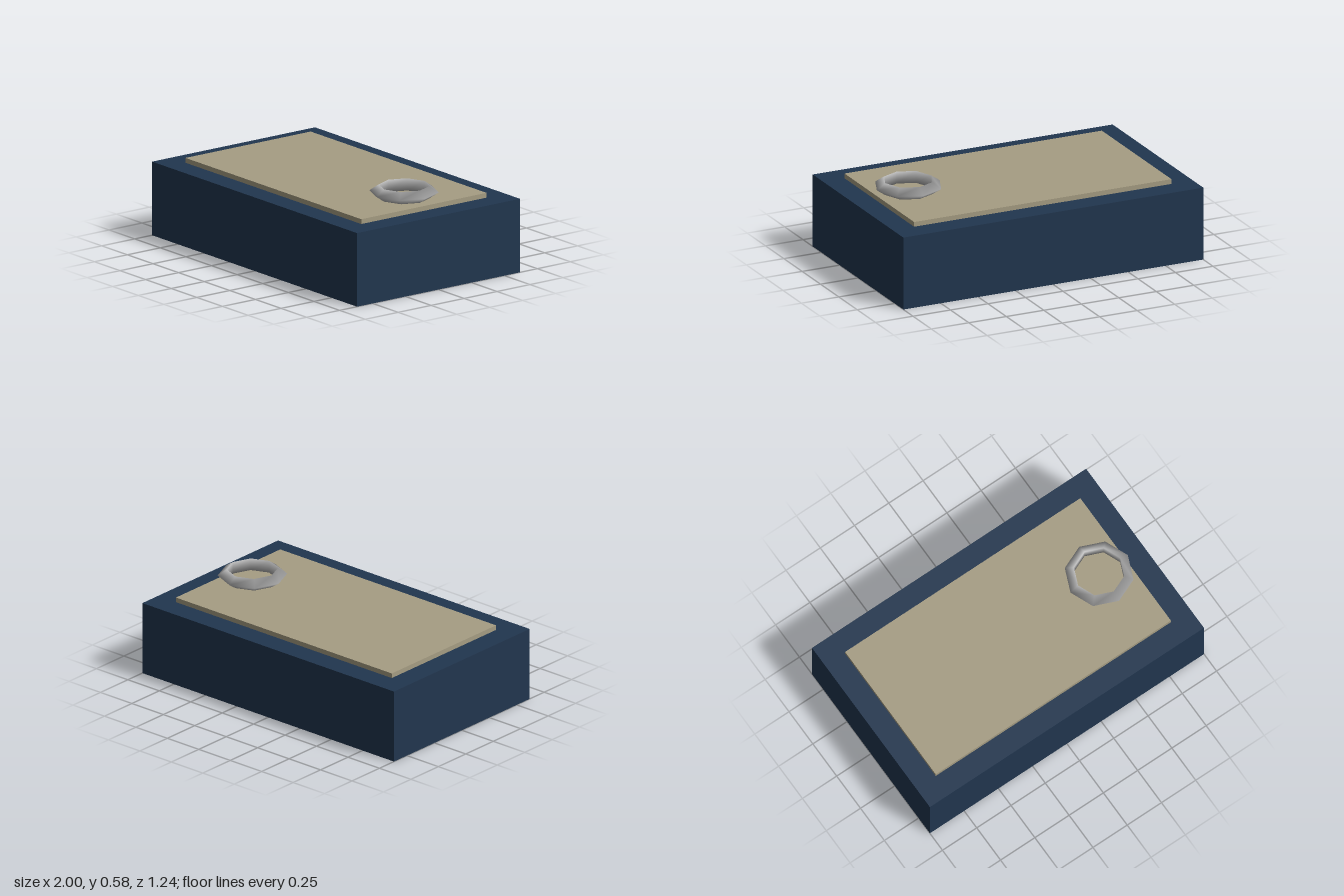
import * as THREE from 'three';

const material = (name, color) => {
  const m = new THREE.MeshStandardMaterial({ color });
  m.name = name;
  return m;
};

export function createModel() {
  const navy = material('navy', 0x21364f);
  const beige = material('beige', 0xa69d83);
  const silver = material('silver', 0xb4b4b4);

  const group = new THREE.Group();
  const add = (name, geometry, mat, x, y, z) => {
    const mesh = new THREE.Mesh(geometry, mat);
    mesh.name = name;
    mesh.position.set(x, y, z);
    group.add(mesh);
  };

  // Solid block and the thin panel resting on it
  add('base', new THREE.BoxGeometry(2, 0.458, 1.236), navy, 0, 0.229, 0);
  add('topPanel', new THREE.BoxGeometry(1.716, 0.03, 0.95), beige, 0, 0.473, 0);

  // Eight-sided ring with a triangular section, upright inner wall, floating above the panel
  const ring = new THREE.TorusGeometry(0.172, 0.0373, 3, 8);
  ring.rotateX(-Math.PI / 2);
  ring.scale(1, 1.18, 1);
  add('ring', ring, silver, 0.665, 0.537, 0);

  return group;
}
